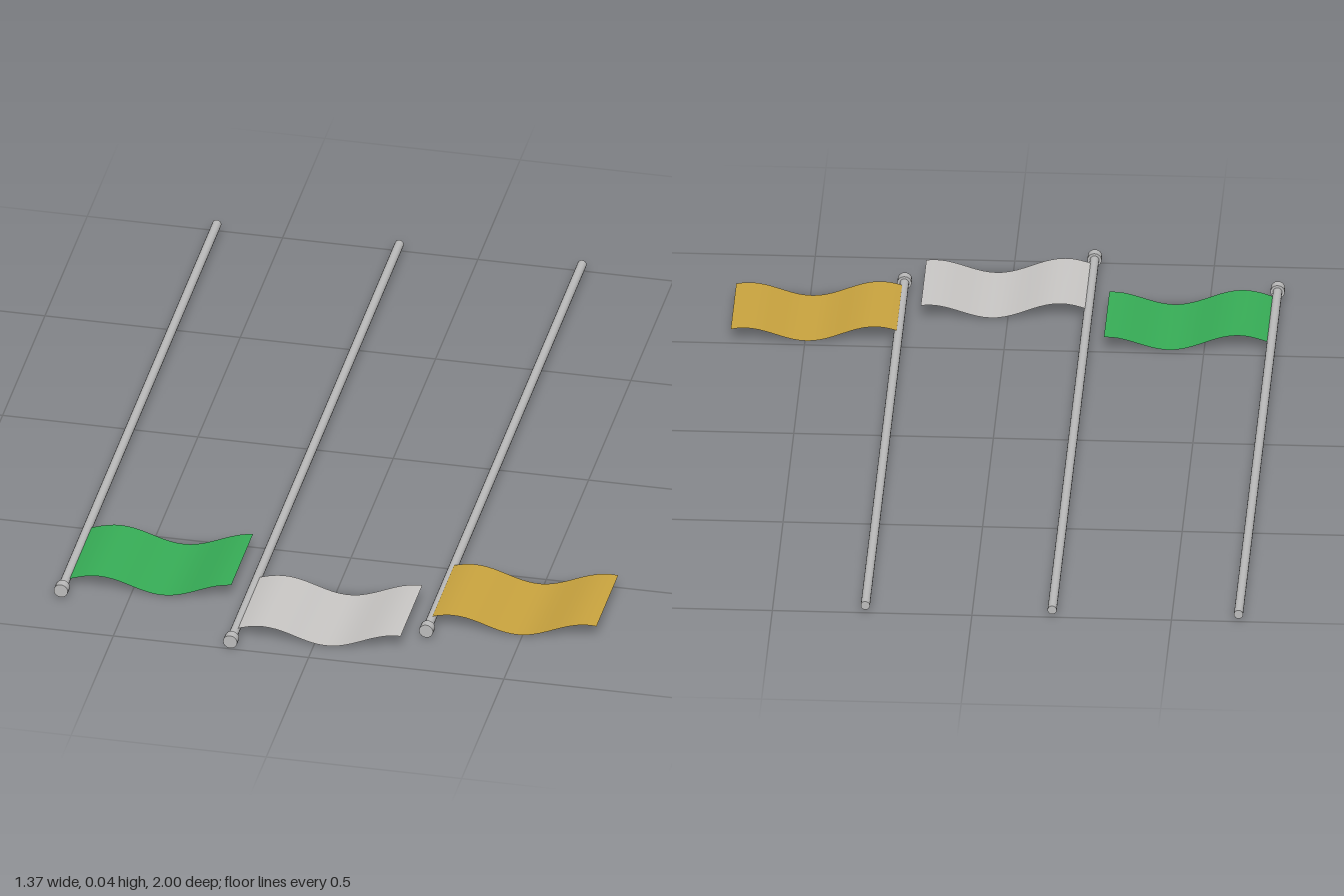
import * as THREE from 'three';

const mat = (name, color, extra = {}) => {
  const m = new THREE.MeshStandardMaterial({ color, ...extra });
  m.name = name;
  return m;
};

const AXIS_Y = 0.021; // height of the pole axes above the ground
const BACK_Z = -1;    // shared rear end of all poles

// Rod lying along z between two depths
function rod(name, radius, z0, z1, material) {
  const geo = new THREE.CylinderGeometry(radius, radius, z1 - z0, 16);
  geo.rotateX(Math.PI / 2);
  geo.translate(0, 0, (z0 + z1) / 2);
  const mesh = new THREE.Mesh(geo, material);
  mesh.name = name;
  return mesh;
}

// Thin waving cloth, lying flat beside the pole and swept back at its free end
function cloth(zTip, phase, material) {
  const length = 0.418, height = 0.257;
  const geo = new THREE.PlaneGeometry(length, height, 24, 1);
  geo.rotateX(-Math.PI / 2);
  geo.translate(length / 2, 0, zTip - 0.057 - height / 2);
  const p = geo.attributes.position;
  for (let i = 0; i < p.count; i++) {
    const t = p.getX(i) / length;
    p.setY(i, 0.02 * Math.sin(2.5 * Math.PI * t + phase));
    p.setZ(i, p.getZ(i) - 0.028 * t * t);
  }
  geo.computeVertexNormals();
  const mesh = new THREE.Mesh(geo, material);
  mesh.name = 'flagCloth';
  return mesh;
}

export function createModel() {
  const group = new THREE.Group();
  group.name = 'flagpoles';
  const metal = mat('poleMetal', 0xbebebe);
  const both = { side: THREE.DoubleSide };
  const flags = [
    { name: 'greenFlag', x: -0.668, tip: 0.845, phase: 0, material: mat('greenCloth', 0x38b058, both) },
    { name: 'whiteFlag', x: -0.201, tip: 1, phase: 0.25, material: mat('whiteCloth', 0xcccac8, both) },
    { name: 'goldFlag', x: 0.267, tip: 0.845, phase: 0.5, material: mat('goldCloth', 0xcca640, both) },
  ];
  for (const f of flags) {
    const flag = new THREE.Group();
    flag.name = f.name;
    flag.position.set(f.x, AXIS_Y, 0);
    flag.add(
      rod('pole', 0.0115, BACK_Z, f.tip - 0.02, metal),
      rod('poleCap', 0.018, f.tip - 0.024, f.tip, metal),
      cloth(f.tip, f.phase, f.material),
    );
    group.add(flag);
  }
  return group;
}
